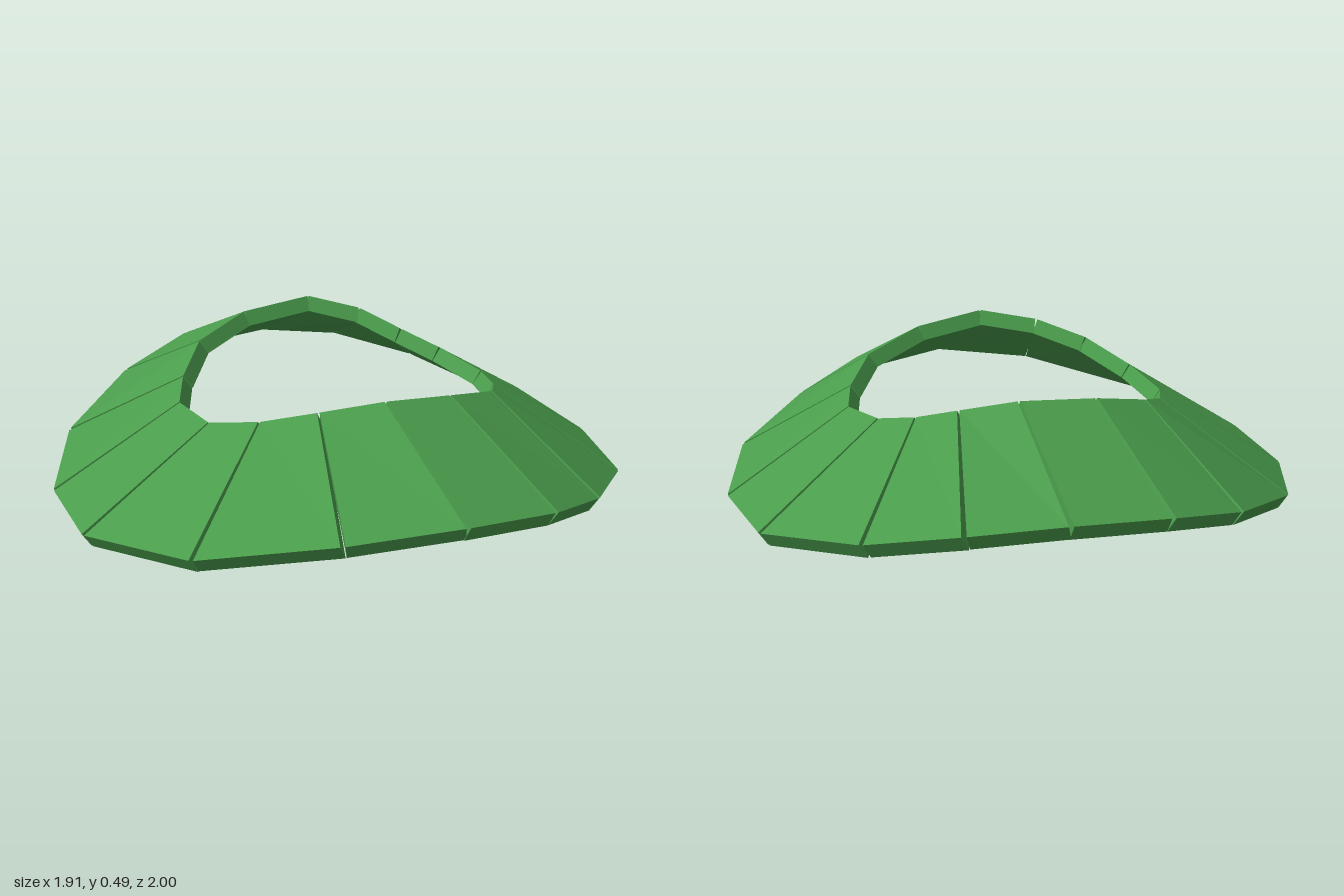
import * as THREE from 'three';

// Seams between neighbouring plates, clockwise seen from above: outer x, z, inner x, z
const SEAMS = [
  [-0.285, -0.96, -0.175, -0.495], [0.035, -1.0, 0.08, -0.53],
  [0.335, -0.94, 0.255, -0.455], [0.61, -0.775, 0.37, -0.335],
  [0.88, -0.405, 0.47, -0.205], [0.955, 0.0, 0.54, 0.005],
  [0.875, 0.42, 0.51, 0.175], [0.63, 0.735, 0.42, 0.355],
  [0.385, 0.92, 0.22, 0.475], [0.06, 1.0, -0.02, 0.53],
  [-0.3, 0.93, -0.22, 0.475], [-0.695, 0.705, -0.38, 0.37],
  [-0.935, 0.27, -0.495, 0.19], [-0.96, -0.11, -0.53, -0.055],
  [-0.83, -0.51, -0.475, -0.22], [-0.555, -0.81, -0.37, -0.39],
];
const THICKNESS = 0.055;
const GAP = 0.008;

// The collar dips at the sides and rises towards front and back
const outerPoint = (s) => new THREE.Vector3(s[0], 0.05 + 0.215 * Math.abs(s[1]) ** 2.4, s[1]);
const innerPoint = (s) => new THREE.Vector3(s[2], 0.33 + 0.16 * (s[3] / 0.53) ** 2, s[3]);

// Pull two neighbouring corners together to leave a gap at the seams
function inset(p, q, amount) {
  const d = q.clone().sub(p).setLength(amount);
  p.add(d);
  q.sub(d);
}

// A slab whose top has the given corners, thickened against its own normal
function plateGeometry(a, b, c, d) {
  const normal = d.clone().sub(b).cross(c.clone().sub(a)).normalize();
  if (normal.y < 0) normal.negate();
  const top = [a, b, c, d];
  const bottom = top.map((p) => p.clone().addScaledVector(normal, -THICKNESS));
  const positions = [];
  const quad = (p, q, r, s) => [p, q, r, p, r, s].forEach((v) => positions.push(v.x, v.y, v.z));
  quad(a, d, c, b);
  quad(...bottom);
  for (let i = 0; i < 4; i++) {
    const j = (i + 1) % 4;
    quad(top[i], top[j], bottom[j], bottom[i]);
  }
  const geometry = new THREE.BufferGeometry();
  geometry.setAttribute('position', new THREE.Float32BufferAttribute(positions, 3));
  geometry.computeVertexNormals();
  return geometry;
}

export function createModel() {
  const model = new THREE.Group();
  model.name = 'platedCollar';
  const green = new THREE.MeshStandardMaterial({ color: 0x4a9c4c });
  green.name = 'leaf green';

  // Ring of sloping plates
  SEAMS.forEach((seam, i) => {
    const next = SEAMS[(i + 1) % SEAMS.length];
    const a = outerPoint(seam), b = outerPoint(next);
    const c = innerPoint(next), d = innerPoint(seam);
    inset(a, b, GAP);
    inset(d, c, GAP / 2);
    const plate = new THREE.Mesh(plateGeometry(a, b, c, d), green);
    plate.name = `collarPlate${i + 1}`;
    model.add(plate);
  });
  return model;
}
